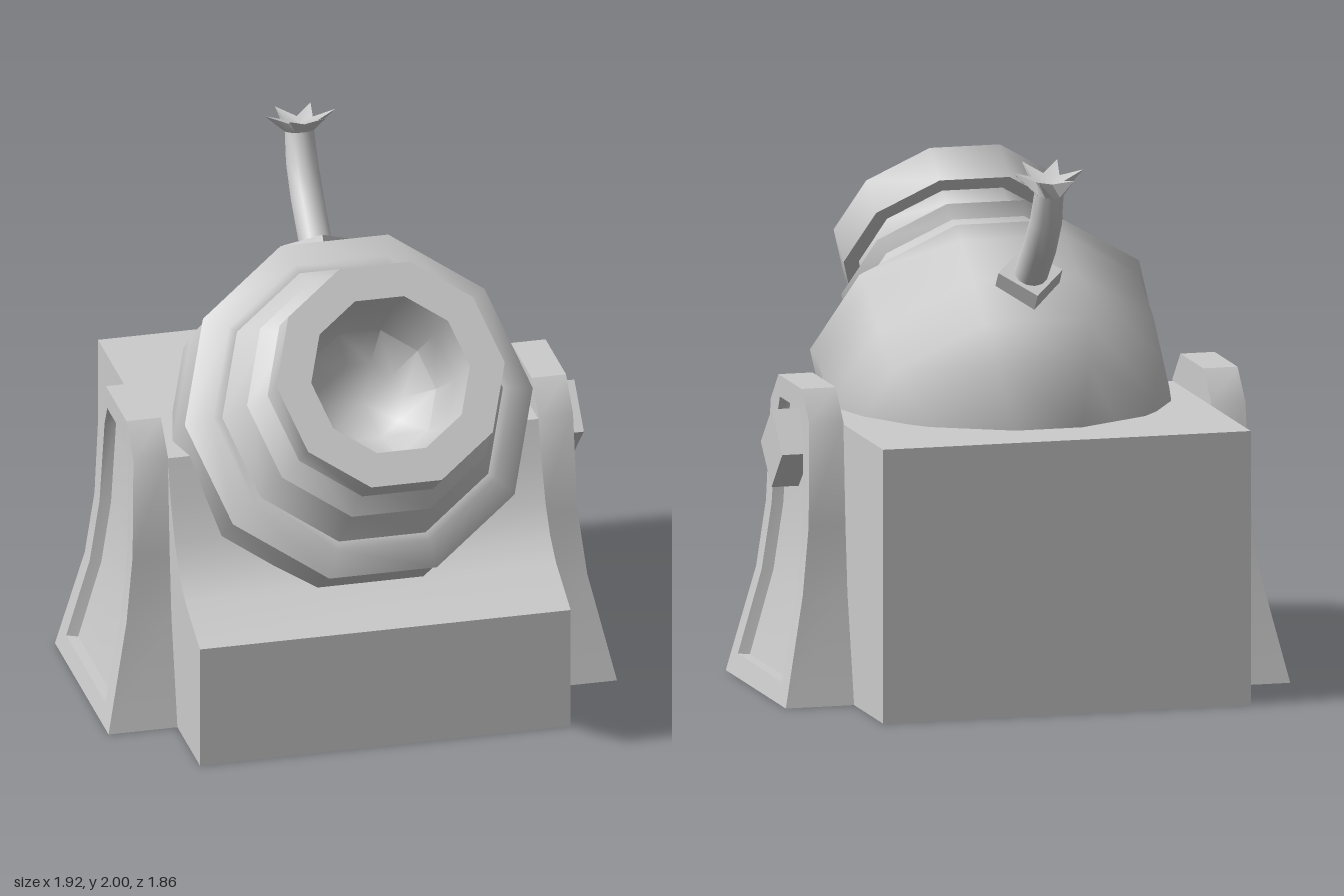
import * as THREE from 'three';
import { toCreasedNormals } from 'three/addons/utils/BufferGeometryUtils.js';

const material = new THREE.MeshStandardMaterial({ color: 0xcccccc });
const CREASE = 0.7;

function part(name, geometry, parent) {
  const mesh = new THREE.Mesh(toCreasedNormals(geometry, CREASE), material);
  mesh.name = name;
  parent.add(mesh);
  return mesh;
}

// Skin closed loops of equal length; loops run counter-clockwise about the sweep direction
function loft(loops) {
  const n = loops[0].length, index = [];
  for (let i = 0; i < loops.length - 1; i++) {
    for (let j = 0; j < n; j++) {
      const k = (j + 1) % n, a = i * n, b = a + n;
      index.push(a + j, a + k, b + j, a + k, b + k, b + j);
    }
  }
  const g = new THREE.BufferGeometry();
  g.setAttribute('position', new THREE.Float32BufferAttribute(loops.flat(2), 3));
  g.setIndex(index);
  return g;
}

// Block with a scooped front, profile in (z, y)
function baseGeometry() {
  const profile = [[0.61, 0], [0.61, 0.47], [0.39, 0.56], [0.3, 0.63], [0.23, 0.73],
    [0.17, 0.87], [0.12, 1.02], [-0.93, 1.02], [-0.93, 0]];
  const shape = new THREE.Shape(profile.map(([z, y]) => new THREE.Vector2(z, y)));
  const g = new THREE.ExtrudeGeometry(shape, { depth: 1.4, bevelEnabled: false });
  return g.translate(0, 0, -0.7).rotateY(-Math.PI / 2);
}

// Ten-sided barrel: [flat radius, distance along the axis from the muzzle]
function barrelGeometry() {
  const profile = [[0, -1.56], [0.2, -1.53], [0.39, -1.422], [0.53, -1.23], [0.6, -1.075],
    [0.615, -0.87], [0.608, -0.658], [0.625, -0.595], [0.535, -0.525], [0.504, -0.524],
    [0.423, -0.378], [0.453, -0.326], [0.357, -0.235], [0.355, -0.166], [0.41, -0.166],
    [0.41, 0], [0.285, 0], [0.28, -0.25], [0.24, -0.4], [0.14, -0.5], [0, -0.54]];
  const k = 1 / Math.cos(Math.PI / 10);
  return new THREE.LatheGeometry(profile.map(([r, s]) => new THREE.Vector2(r * k, s)),
    10, Math.PI / 10);
}

// Flared side support with a recessed outer panel; rows are [half width, y, x]
function supportGeometry(side) {
  const outer = [[0.155, 1.14, 0.83], [0.26, 1.03, 0.83], [0.288, 0.65, 0.84],
    [0.315, 0.4, 0.87], [0.405, 0, 0.96]];
  const inner = [[0.135, 1.06, 0.83], [0.175, 0.98, 0.83], [0.212, 0.65, 0.84],
    [0.24, 0.4, 0.87], [0.295, 0.08, 0.945]];
  const loop = (rows, x, widthScale = 1) => {
    const half = (s) => rows.map(([w, y, rowX]) => [side * x(rowX), y, -0.135 + s * w * widthScale]);
    const points = [...half(1), ...half(-1).reverse()];
    return side > 0 ? points : points.reverse();
  };
  const face = (x) => x, recess = (x) => x - 0.04;
  return loft([
    loop(outer, () => 0.7, 0),
    loop(outer, () => 0.7),
    loop(outer, face),
    loop(inner, face),
    loop(inner, recess, 0.93),
    loop(inner, recess, 0),
  ]);
}

// Bent fuse ending in a six-pointed spark; rows are [z, y, tilt in degrees, tip radius, valley radius, valley drop]
function fuseGeometry() {
  const rows = [[-0.43, 1.54, 45, 0.062, 0.062, 0], [-0.57, 1.68, 43, 0.062, 0.062, 0],
    [-0.65, 1.79, 28, 0.06, 0.06, 0], [-0.69, 1.9, 14, 0.055, 0.055, 0],
    [-0.675, 1.978, 10, 0.135, 0.062, 0.03], [-0.685, 1.925, 10, 0, 0, 0]];
  return loft(rows.map(([z, y, degrees, tip, valley, drop]) => {
    const t = THREE.MathUtils.degToRad(degrees), s = Math.sin(t), c = Math.cos(t);
    return Array.from({ length: 12 }, (_, i) => {
      const phi = i * Math.PI / 6, odd = i % 2;
      const r = odd ? valley : tip, d = odd ? drop : 0;
      const e = r * Math.sin(phi);
      return [r * Math.cos(phi), y - e * s - d * c, z - e * c + d * s];
    });
  }));
}

export function createModel() {
  const model = new THREE.Group();
  model.name = 'mortar';

  part('base', baseGeometry(), model);

  const barrel = part('barrel', barrelGeometry(), model);
  barrel.position.set(0, 1.54, 0.69);
  barrel.rotation.x = THREE.MathUtils.degToRad(54);

  part('leftSupport', supportGeometry(1), model);
  part('rightSupport', supportGeometry(-1), model);

  // Square pivot bolt, on the left side only
  const bolt = part('pivotBolt', new THREE.CylinderGeometry(0.145, 0.145, 0.14, 4).rotateZ(Math.PI / 2), model);
  bolt.position.set(0.83, 0.895, -0.135);

  // Square collar where the fuse enters the barrel
  const collar = part('fuseCollar', new THREE.CylinderGeometry(0.122, 0.122, 0.14, 4), model);
  collar.position.set(0, 1.506, -0.396);
  collar.rotation.x = THREE.MathUtils.degToRad(-37);

  part('fuse', fuseGeometry(), model);

  return model;
}
